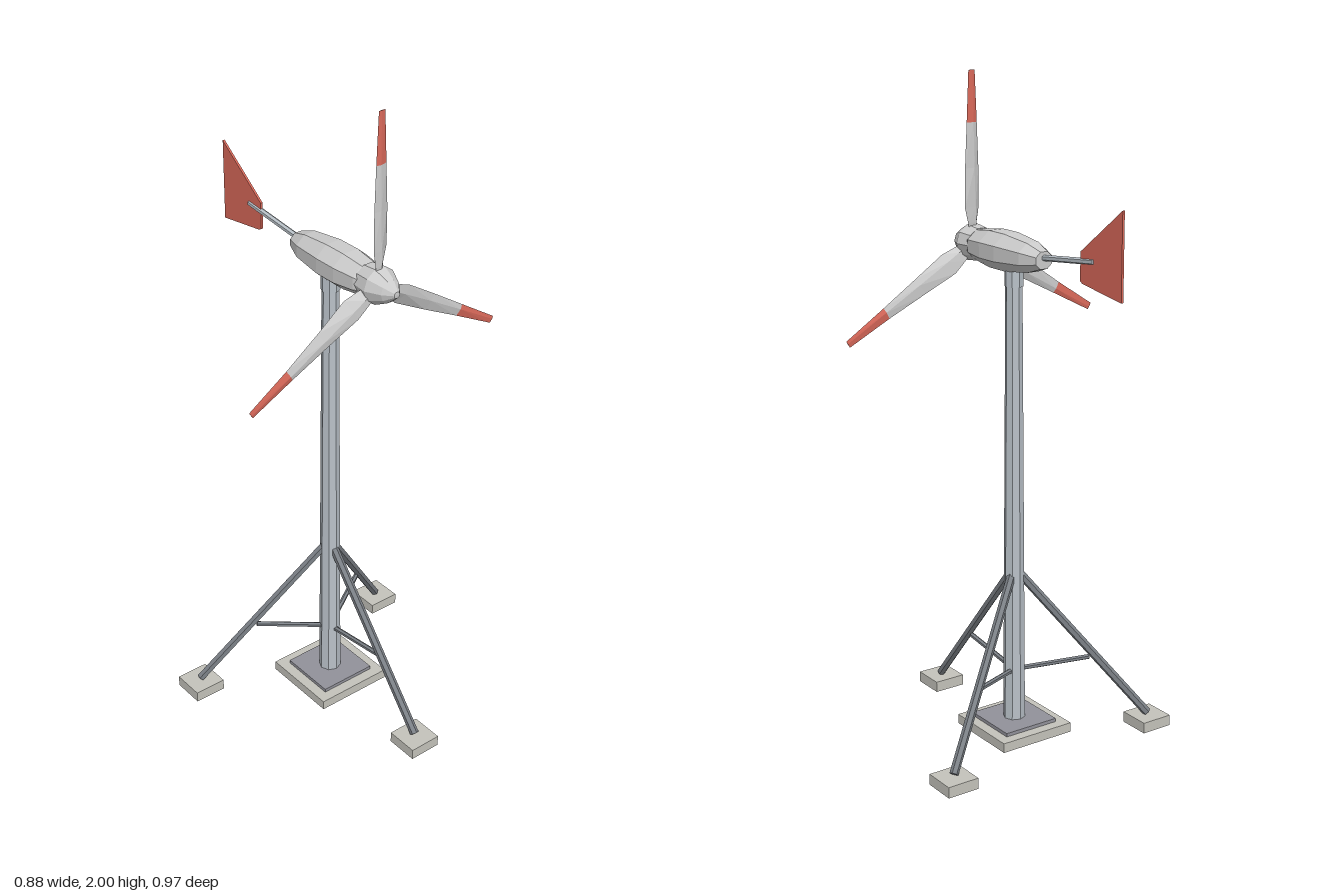
import * as THREE from 'three';

const AXIS_Z = 0.017; // tower axis
const HUB_Y = 1.498;

const material = (color) => new THREE.MeshStandardMaterial({ color, flatShading: true });
const paint = material(0xcccccc);
const steel = material(0xb9c1c8);
const darkSteel = material(0x7c8187);
const plateGrey = material(0x92929a);
const concrete = material(0xc4c3bb);
const red = material(0xd9695a);

function add(parent, name, geometry, mat, x = 0, y = 0, z = 0) {
  const mesh = new THREE.Mesh(geometry, mat);
  mesh.name = name;
  mesh.position.set(x, y, z);
  parent.add(mesh);
  return mesh;
}

// Straight round bar between two points
function bar(parent, name, from, to, radius, sides, mat) {
  const a = new THREE.Vector3(...from), b = new THREE.Vector3(...to);
  const dir = b.clone().sub(a);
  const mesh = add(parent, name, new THREE.CylinderGeometry(radius, radius, dir.length(), sides), mat);
  mesh.position.copy(a).add(b).multiplyScalar(0.5);
  mesh.quaternion.setFromUnitVectors(new THREE.Vector3(0, 1, 0), dir.normalize());
  return mesh;
}

// Faceted body of revolution along z, from [z, radius] pairs running back to front
function turnedBody(profile, sides) {
  const points = profile.map(([z, r]) => new THREE.Vector2(r, z));
  return new THREE.LatheGeometry(points, sides, Math.PI / sides).rotateX(Math.PI / 2);
}

// Blade section stations: [distance from hub, leading x, trailing x, half thickness, twist]
function bladeGeometry(stations) {
  const positions = [], index = [];
  for (const [y, lead, trail, t, twist] of stations) {
    const mid = lead + (trail - lead) * 0.4;
    for (const [x, z] of [[lead, 0], [mid, t], [trail, 0], [mid, -t]]) {
      positions.push(x * Math.cos(twist) + z * Math.sin(twist), y, z * Math.cos(twist) - x * Math.sin(twist));
    }
  }
  for (let s = 0; s < stations.length - 1; s++) {
    for (let i = 0; i < 4; i++) {
      const a = s * 4 + i, b = s * 4 + (i + 1) % 4;
      index.push(a, b, b + 4, a, b + 4, a + 4);
    }
  }
  const e = (stations.length - 1) * 4;
  index.push(0, 2, 1, 0, 3, 2, e, e + 1, e + 2, e, e + 2, e + 3);
  const geometry = new THREE.BufferGeometry();
  geometry.setAttribute('position', new THREE.Float32BufferAttribute(positions, 3));
  geometry.setIndex(index);
  geometry.computeVertexNormals();
  return geometry;
}

function createBase() {
  const base = new THREE.Group();
  base.name = 'base';
  add(base, 'foundation', new THREE.BoxGeometry(0.25, 0.03, 0.25), concrete, 0, 0.02, AXIS_Z);
  add(base, 'basePlate', new THREE.BoxGeometry(0.184, 0.012, 0.184), plateGrey, 0, 0.04, AXIS_Z);
  return base;
}

// Three stay legs with footings and short struts
function createLegs() {
  const legs = new THREE.Group();
  legs.name = 'legs';
  for (let i = 0; i < 3; i++) {
    const angle = i * Math.PI * 2 / 3;
    const at = (r, y) => [r * Math.sin(angle), y, AXIS_Z + r * Math.cos(angle)];
    add(legs, 'footing', new THREE.BoxGeometry(0.102, 0.034, 0.102), concrete, ...at(0.415, 0.017));
    bar(legs, 'leg', at(0.415, 0.04), at(0.012, 0.522), 0.0135, 6, darkSteel);
    bar(legs, 'strut', at(0.015, 0.204), at(0.232, 0.234), 0.008, 6, darkSteel);
  }
  return legs;
}

function createTower() {
  const tower = new THREE.Group();
  tower.name = 'tower';
  add(tower, 'mast', new THREE.CylinderGeometry(0.025, 0.034, 1.415, 8), steel, 0, 0.7475, AXIS_Z);
  add(tower, 'yawCollar', new THREE.CylinderGeometry(0.028, 0.028, 0.06, 8), steel, 0, 1.43, AXIS_Z);
  return tower;
}

// Three twisted blades with red tips
function createRotor() {
  const rotor = new THREE.Group();
  rotor.name = 'rotor';
  rotor.position.set(0, HUB_Y, 0.226);
  const spinner = turnedBody([[-0.045, 0], [-0.045, 0.05], [0.005, 0.056], [0.05, 0.034], [0.077, 0.01], [0.078, 0]], 10);
  add(rotor, 'spinner', spinner, paint);
  const joint = [0.352, -0.016, 0.021, 0.004, 0.07];
  const inner = bladeGeometry([
    [0.03, -0.018, 0.022, 0.01, 0.5],
    [0.06, -0.022, 0.03, 0.01, 0.48],
    [0.105, -0.029, 0.04, 0.009, 0.36],
    [0.22, -0.023, 0.031, 0.006, 0.18],
    joint,
  ]);
  const tip = bladeGeometry([joint, [0.502, -0.009, 0.013, 0.0015, 0.02]]);
  for (let i = 0; i < 3; i++) {
    const blade = new THREE.Group();
    blade.name = 'blade';
    blade.rotation.z = i * Math.PI * 2 / 3;
    add(blade, 'bladeBody', inner, paint);
    add(blade, 'bladeTip', tip, red);
    rotor.add(blade);
  }
  return rotor;
}

function createNacelle() {
  const nacelle = new THREE.Group();
  nacelle.name = 'nacelle';
  const body = turnedBody([[-0.13, 0], [-0.13, 0.028], [-0.075, 0.048], [0.03, 0.061], [0.105, 0.061], [0.178, 0.051], [0.19, 0.045], [0.19, 0]], 8);
  add(nacelle, 'housing', body, paint, 0, HUB_Y).scale.set(1.1, 0.96, 1);
  return nacelle;
}

function createTail() {
  const tail = new THREE.Group();
  tail.name = 'tail';
  bar(tail, 'boom', [0, 1.503, -0.11], [0, 1.53, -0.36], 0.009, 6, steel);
  // Vane outline as [backward distance, height]
  const outline = [[0.302, 1.468], [0.312, 1.462], [0.483, 1.438], [0.483, 1.686], [0.302, 1.55]];
  const shape = new THREE.Shape(outline.map(([d, y]) => new THREE.Vector2(d, y)));
  const vane = new THREE.ExtrudeGeometry(shape, { depth: 0.007, bevelEnabled: false });
  vane.translate(0, 0, -0.0035).rotateY(Math.PI / 2);
  add(tail, 'vane', vane, red);
  return tail;
}

export function createModel() {
  const model = new THREE.Group();
  model.name = 'windTurbine';
  model.add(createBase(), createLegs(), createTower(), createNacelle(), createRotor(), createTail());
  return model;
}
